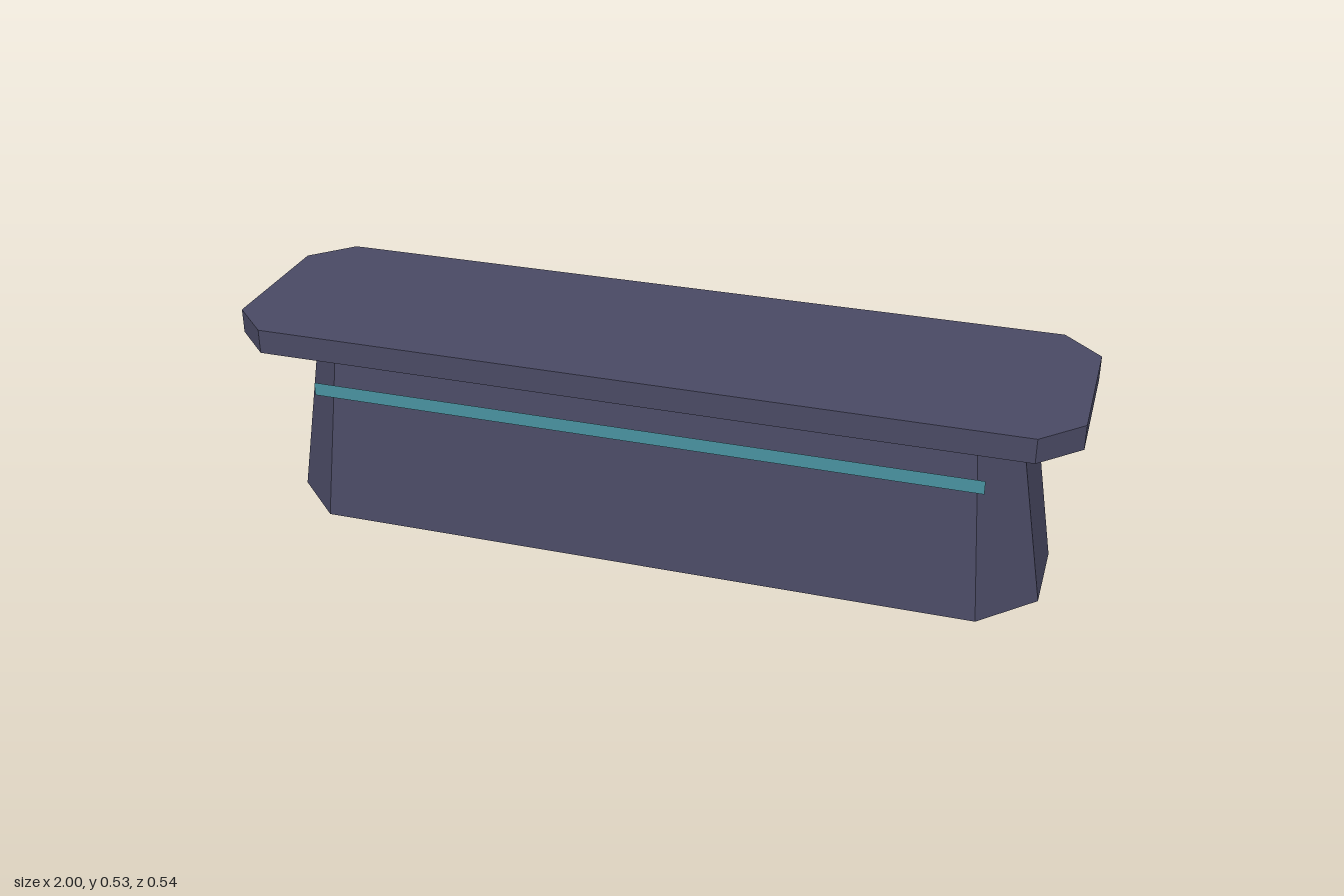
import * as THREE from 'three';

const slate = new THREE.MeshStandardMaterial({ color: 0x4a4a64 });
slate.name = 'slate';
const teal = new THREE.MeshStandardMaterial({ color: 0x4992a0, side: THREE.DoubleSide });
teal.name = 'teal';

// Rectangle with cut corners at height y, counter-clockwise seen from above
function chamferedRing(y, halfX, halfZ, cut) {
  return [
    [halfX - cut, halfZ], [halfX, halfZ - cut], [halfX, cut - halfZ], [halfX - cut, -halfZ],
    [cut - halfX, -halfZ], [-halfX, cut - halfZ], [-halfX, halfZ - cut], [cut - halfX, halfZ],
  ].map(([x, z]) => [x, y, z]);
}

// Closed solid between two rings, with flat faces
function loft(bottom, top) {
  const points = [];
  const n = bottom.length;
  for (let i = 0; i < n; i++) {
    const j = (i + 1) % n;
    points.push(bottom[i], bottom[j], top[j], bottom[i], top[j], top[i]);
    if (i > 0 && i < n - 1) {
      points.push(top[0], top[i], top[j], bottom[0], bottom[j], bottom[i]);
    }
  }
  const geometry = new THREE.BufferGeometry();
  geometry.setAttribute('position', new THREE.Float32BufferAttribute(points.flat(), 3));
  geometry.computeVertexNormals();
  return geometry;
}

export function createModel() {
  const model = new THREE.Group();
  model.name = 'counter';

  function add(name, geometry, material, y, z) {
    const mesh = new THREE.Mesh(geometry, material);
    mesh.name = name;
    mesh.position.set(0, y, z);
    model.add(mesh);
  }

  // Tapered base, set slightly back under the top
  add('base', loft(chamferedRing(0, 0.935, 0.234, 0.127), chamferedRing(0.47, 0.855, 0.192, 0.085)),
    slate, 0, -0.037);

  // Overhanging slab with cut corners
  add('counterTop', loft(chamferedRing(0.47, 1, 0.266, 0.093), chamferedRing(0.529, 1, 0.266, 0.093)),
    slate, 0, 0.006);

  // Thin light strip standing just off the front face
  add('frontStrip', new THREE.PlaneGeometry(1.606, 0.033), teal, 0.364, 0.219);

  return model;
}
